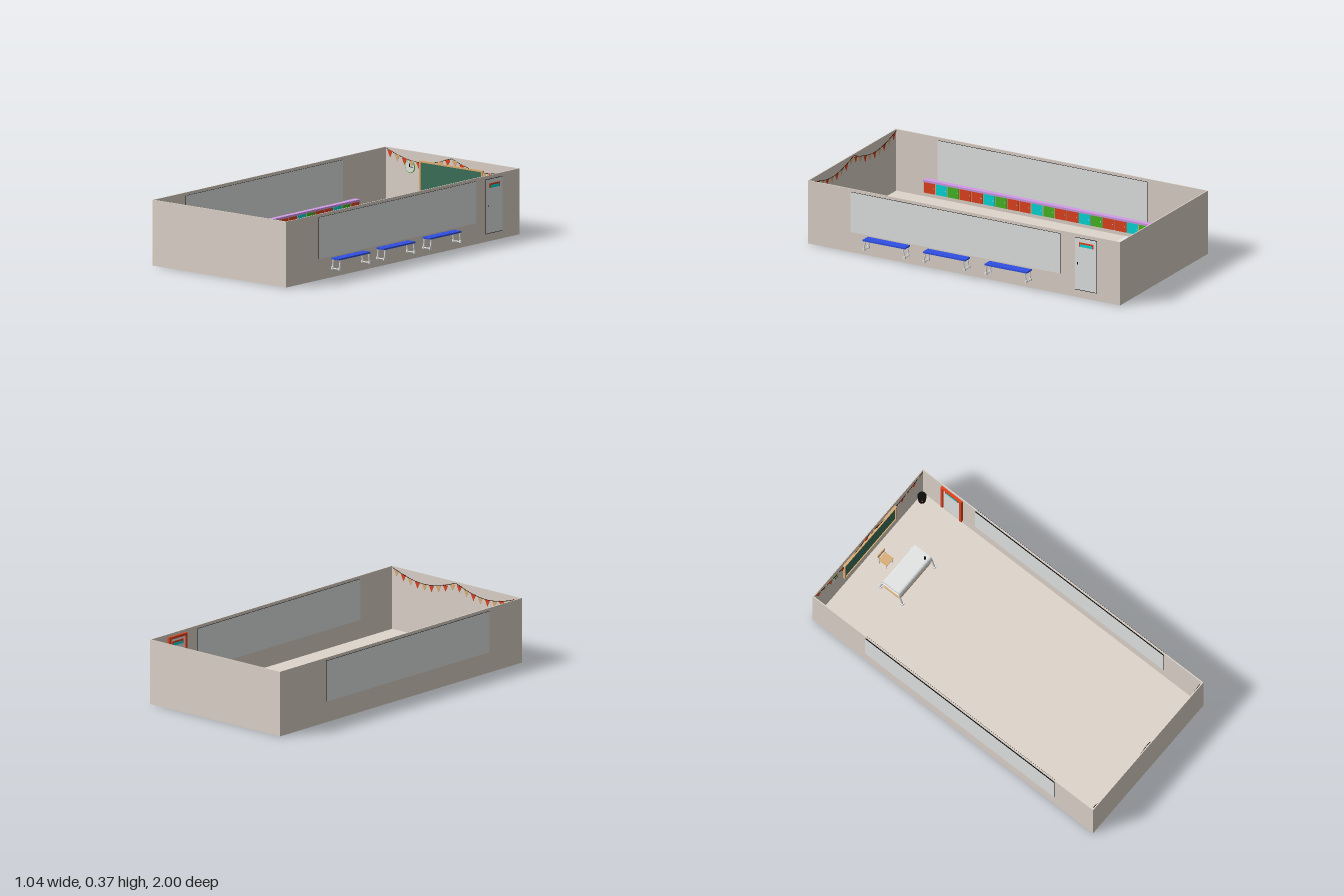
import * as THREE from 'three';

const mat = (name, hex) => {
  const m = new THREE.MeshStandardMaterial({ color: hex });
  m.name = name;
  return m;
};

export function createModel() {
  const wall = mat('plaster beige', 0xdfd5cb);
  const grey = mat('pale grey', 0xe4e5e5);
  const black = mat('black', 0x0c0c0c);
  const blue = mat('bench blue', 0x3050e4);
  const purple = mat('lilac', 0xd29ce8);
  const red = mat('orange red', 0xe2431f);
  const cyan = mat('cyan', 0x06dada);
  const green = mat('leaf green', 0x48b825);
  const wood = mat('wood', 0xdcb079);
  const board = mat('chalkboard green', 0x3c7059);

  const root = new THREE.Group();
  root.name = 'classroom';
  const group = (name, parent = root) => {
    const g = new THREE.Group();
    g.name = name;
    parent.add(g);
    return g;
  };
  const add = (parent, name, geo, m) => {
    const mesh = new THREE.Mesh(geo, m);
    mesh.name = name;
    parent.add(mesh);
    return mesh;
  };
  // Box given by its minimum and maximum on each axis
  const box = (parent, name, m, x0, x1, y0, y1, z0, z1) => {
    const b = add(parent, name, new THREE.BoxGeometry(x1 - x0, y1 - y0, z1 - z0), m);
    b.position.set((x0 + x1) / 2, (y0 + y1) / 2, (z0 + z1) / 2);
    return b;
  };
  // Tube through points; straight segments with sharp bends unless smooth
  const tube = (parent, name, m, pts, r, smooth = false, seg = 24) => {
    const v = pts.map((p) => new THREE.Vector3(...p));
    let curve = new THREE.CatmullRomCurve3(v);
    if (!smooth) {
      curve = new THREE.CurvePath();
      for (let i = 1; i < v.length; i++) curve.add(new THREE.LineCurve3(v[i - 1], v[i]));
    }
    return add(parent, name, new THREE.TubeGeometry(curve, seg, r, 8), m);
  };

  // Wall planes, wall height, wall thickness, floor height, furniture base
  const L = -0.513, R = 0.457, H = 0.372, T = 0.006, F = 0.01, B = 0.045;

  // Shell: floor and four walls, open at the top
  const shell = group('roomShell');
  box(shell, 'floor', wall, L, R, 0, F, -1, 1);
  box(shell, 'rightWall', wall, L, L + T, F, H, -1, 1);
  box(shell, 'leftWall', wall, R - T, R, F, H, -1, 1);
  box(shell, 'backWall', wall, L + T, R - T, F, H, -1, -1 + T);
  box(shell, 'frontWall', wall, L + T, R - T, F, H, 1 - T, 1);

  // Long windows: grey panes on both wall faces with black edges
  const pane = [grey, grey, black, black, black, black];
  for (const [name, x] of [['rightWindow', L + T / 2], ['leftWindow', R - T / 2]])
    box(group(name), 'windowPane', pane, x - 0.009, x + 0.009, 0.12, 0.355, -0.62, 0.725);

  // Door, seen from outside and inside
  const door = group('door');
  box(door, 'doorOutline', black, R, R + 0.001, 0.043, 0.352, -0.852, -0.71);
  box(door, 'outerDoor', grey, R, R + 0.002, 0.046, 0.349, -0.85, -0.712);
  const xi = R - T;
  box(door, 'innerDoor', grey, xi - 0.006, xi, B, 0.345, -0.845, -0.72);
  for (const z of [-0.86, -0.725]) box(door, 'innerJamb', red, xi - 0.014, xi, B, 0.355, z, z + 0.014);
  box(door, 'innerLintel', red, xi - 0.014, xi, 0.341, 0.355, -0.86, -0.711);
  for (const x of [R + 0.001, xi - 0.009]) {
    box(door, 'signBack', red, x, x + 0.003, 0.3, 0.326, -0.83, -0.738);
    box(door, 'signPanel', cyan, x - 0.0007, x + 0.0037, 0.3, 0.316, -0.822, -0.745);
    box(door, 'doorHandle', black, x, x + 0.003, 0.194, 0.206, -0.731, -0.727);
  }

  // Three benches outside
  for (const zc of [-0.3, 0.095, 0.48]) {
    const b = group('bench');
    for (let i = 0; i < 4; i++) {
      const x = 0.459 + i * 0.0142;
      box(b, 'benchSlat', blue, x, x + 0.0136, 0.102, 0.111, zc - 0.135, zc + 0.135);
    }
    for (const s of [-1, 1]) {
      const z = zc + s * 0.122, zf = zc + s * 0.129;
      tube(b, 'benchLeg', grey, [[0.463, 0.102, z], [0.463, 0.05, zf], [0.512, 0.05, zf], [0.512, 0.102, z]], 0.004);
      for (const x of [0.463, 0.512])
        box(b, 'benchFoot', grey, x - 0.005, x + 0.005, B, 0.06, zf - 0.007, zf + 0.007);
    }
  }

  // Long low cupboard with coloured doors
  const cupboard = group('cupboard');
  const x0 = L + T, x1 = -0.472, z0 = -0.73, step = 1.53 / 20;
  box(cupboard, 'cupboardBody', wood, x0, x1 - 0.004, B, 0.108, z0, 0.8);
  box(cupboard, 'cupboardTop', purple, x0, x1 + 0.002, 0.108, 0.12, z0, 0.8);
  const doorColours = [red, green, cyan, red];
  for (let i = 0; i < 20; i++) {
    const z = z0 + i * step;
    box(cupboard, 'cupboardDoor', doorColours[i % 4], x1 - 0.004, x1, B, 0.107, z + 0.003, z + step - 0.003);
    box(cupboard, 'doorKnob', grey, x1, x1 + 0.002, 0.075, 0.08, z + 0.01, z + 0.014);
  }

  // Chalkboard with wooden frame
  const chalk = group('chalkboard'), zb = -1 + T;
  box(chalk, 'boardSurface', board, -0.247, 0.197, 0.143, 0.32, zb, zb + 0.008);
  for (const x of [-0.255, 0.196]) box(chalk, 'boardSide', wood, x, x + 0.009, 0.135, 0.328, zb, zb + 0.014);
  for (const y of [0.135, 0.319]) box(chalk, 'boardRail', wood, -0.255, 0.205, y, y + 0.009, zb, zb + 0.014);

  // Wall clock
  const clock = group('clock');
  clock.position.set(-0.33, 0.282, zb + 0.003);
  add(clock, 'clockFace', new THREE.CylinderGeometry(0.032, 0.032, 0.006, 32).rotateX(Math.PI / 2), grey);
  add(clock, 'clockRim', new THREE.TorusGeometry(0.033, 0.003, 8, 32), green);
  box(clock, 'hourHand', black, -0.001, 0.001, 0, 0.018, 0.003, 0.005);
  box(clock, 'minuteHand', black, 0, 0.024, -0.001, 0.001, 0.003, 0.005);

  // Bunting: two swags of pennants on each end wall
  const pennant = new THREE.Shape([[-0.019, 0], [0, -0.038], [0.019, 0]].map((p) => new THREE.Vector2(...p)));
  const flag = new THREE.ExtrudeGeometry(pennant, { depth: 0.002, bevelEnabled: false });
  const flagColours = [red, wood];
  const stringY = (t) => 0.365 - 0.05 * Math.abs(Math.sin(t * 2 * Math.PI));
  for (const s of [-1, 1]) {
    const bunting = group('bunting'), z = s * (1 - T - 0.005);
    const at = (t) => [L + 0.015 + t * 0.94, stringY(t), z];
    tube(bunting, 'buntingString', black, Array.from({ length: 25 }, (_, i) => at(i / 24)), 0.0015, true, 48);
    for (let i = 0; i < 18; i++) {
      const f = add(bunting, 'pennant', flag, flagColours[i % 2]);
      f.position.set(...at((i + 0.5) / 18));
    }
  }

  // Teacher's desk: curved white top over a wooden body, on tube legs
  const desk = group('teacherDesk');
  const p = new THREE.Shape();
  p.moveTo(-0.065, 0.12);
  p.lineTo(-0.065, 0.148);
  p.quadraticCurveTo(-0.065, 0.165, -0.05, 0.165);
  p.lineTo(0.045, 0.165);
  p.quadraticCurveTo(0.065, 0.165, 0.065, 0.125);
  p.lineTo(0.058, 0.125);
  p.quadraticCurveTo(0.058, 0.157, 0.045, 0.157);
  p.lineTo(-0.05, 0.157);
  p.quadraticCurveTo(-0.058, 0.157, -0.058, 0.12);
  const topGeo = new THREE.ExtrudeGeometry(p, { depth: 0.28, bevelEnabled: false, curveSegments: 8 });
  const top = add(desk, 'deskTop', topGeo.rotateY(-Math.PI / 2), grey);
  top.position.set(0.14, 0, -0.74);
  box(desk, 'deskFrontPanel', wood, -0.135, 0.135, 0.065, 0.128, -0.692, -0.685);
  box(desk, 'deskShelf', wood, -0.135, 0.135, 0.065, 0.073, -0.8, -0.692);
  for (const x of [-0.143, 0.138]) {
    tube(desk, 'deskLeg', grey, [[x, 0.05, -0.825], [x, 0.15, -0.8], [x, 0.15, -0.685], [x, 0.05, -0.66]], 0.006);
    for (const z of [-0.82, -0.663]) box(desk, 'deskFoot', grey, x - 0.009, x + 0.009, B, 0.06, z - 0.011, z + 0.011);
  }
  const pot = add(desk, 'penPot', new THREE.CylinderGeometry(0.006, 0.006, 0.025, 16), black);
  pot.position.set(0.11, 0.177, -0.705);

  // Chair behind the desk
  const chair = group('chair');
  box(chair, 'chairSeat', wood, -0.04, 0.02, 0.1, 0.106, -0.915, -0.855);
  box(chair, 'chairBack', wood, -0.04, 0.02, 0.128, 0.16, -0.922, -0.916);
  for (const x of [-0.035, 0.015]) {
    tube(chair, 'chairRearLeg', grey, [[x, B, -0.912], [x, 0.1, -0.912], [x, 0.15, -0.919]], 0.003);
    tube(chair, 'chairFrontLeg', grey, [[x, B, -0.86], [x, 0.1, -0.86]], 0.003);
  }

  // Corner bin with a leaning stick
  const bin = group('bin');
  const bucket = add(bin, 'binBody', new THREE.CylinderGeometry(0.026, 0.021, 0.07, 20), black);
  bucket.position.set(0.402, B + 0.035, -0.962);
  tube(bin, 'stick', red, [[0.405, 0.06, -0.965], [0.365, 0.14, -0.93]], 0.004);

  return root;
}
